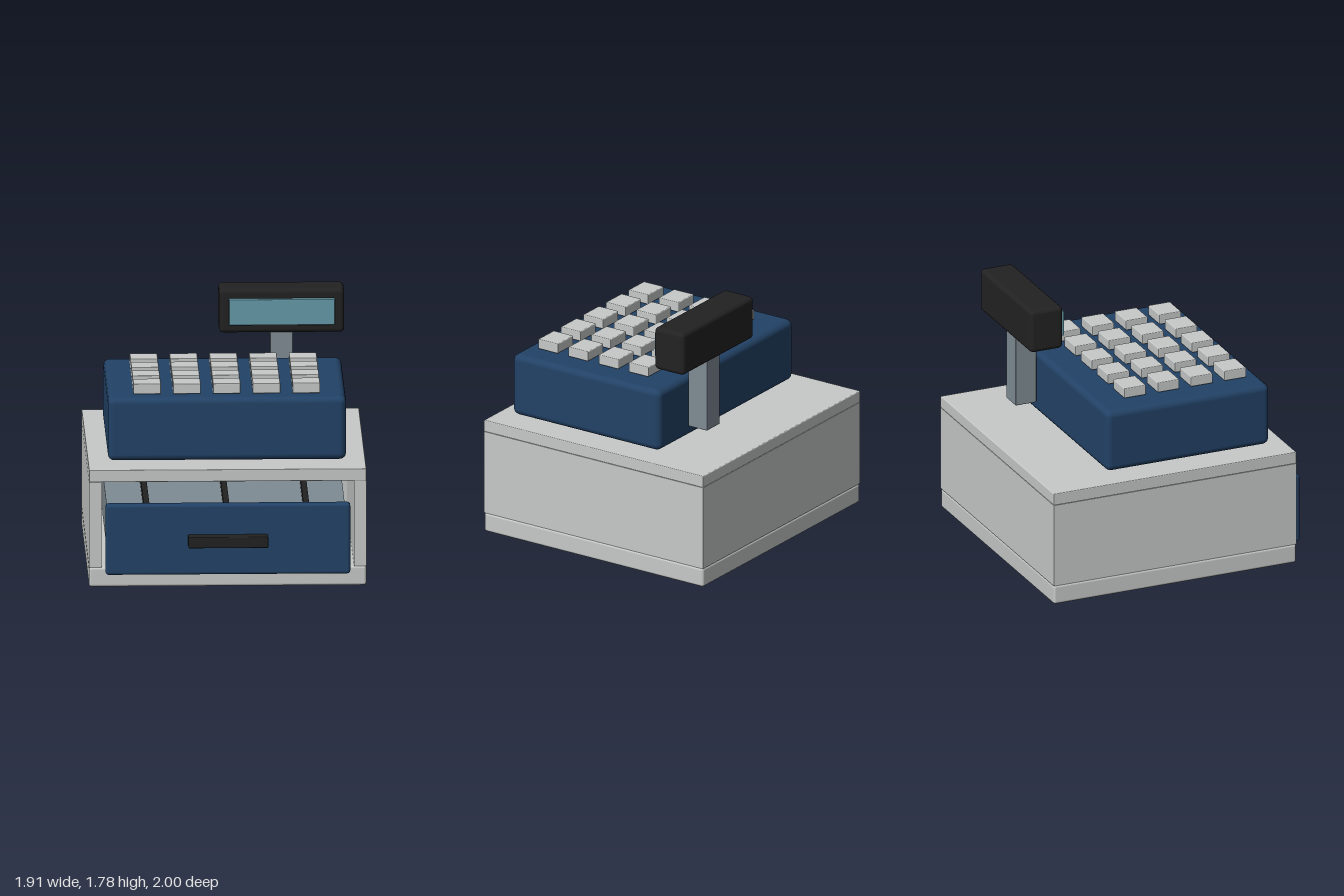
import * as THREE from 'three';
import { RoundedBoxGeometry } from 'three/addons/geometries/RoundedBoxGeometry.js';

function material(name, color) {
  const m = new THREE.MeshStandardMaterial({ color });
  m.name = name;
  return m;
}

export function createModel() {
  const model = new THREE.Group();
  model.name = 'cashRegister';

  const lightGrey = material('light grey', 0xc6cac8);
  const navy = material('navy blue', 0x224266);
  const black = material('black', 0x222222);
  const steel = material('steel grey', 0x7f8c94);
  const glass = material('screen teal', 0x659aa9);

  // Box given by its extents on each axis, with an optional rounded edge
  function box(name, mat, [x0, x1], [y0, y1], [z0, z1], radius = 0, parent = model) {
    const w = x1 - x0, h = y1 - y0, d = z1 - z0;
    const geometry = radius
      ? new RoundedBoxGeometry(w, h, d, 2, radius)
      : new THREE.BoxGeometry(w, h, d);
    const mesh = new THREE.Mesh(geometry, mat);
    mesh.position.set((x0 + x1) / 2, (y0 + y1) / 2, (z0 + z1) / 2);
    mesh.name = name;
    parent.add(mesh);
    return mesh;
  }

  // Cabinet: a shell open at the front
  const cabinet = new THREE.Group();
  cabinet.name = 'cabinet';
  model.add(cabinet);
  const depth = [-1, 0.83];
  box('base', lightGrey, [-0.955, 0.955], [0, 0.138], depth, 0.018, cabinet);
  box('leftWall', lightGrey, [0.87, 0.955], [0.138, 0.74], depth, 0, cabinet);
  box('rightWall', lightGrey, [-0.955, -0.87], [0.138, 0.74], depth, 0, cabinet);
  box('backWall', lightGrey, [-0.87, 0.87], [0.138, 0.74], [-1, -0.92], 0, cabinet);
  box('topPlate', lightGrey, [-0.955, 0.955], [0.74, 0.825], depth, 0.006, cabinet);

  // Drawer with handle, tray and dividers
  const drawer = new THREE.Group();
  drawer.name = 'drawer';
  model.add(drawer);
  box('drawerFront', navy, [-0.842, 0.842], [0.1, 0.597], [0.83, 0.91], 0.02, drawer);
  box('drawerHandle', black, [-0.275, 0.275], [0.308, 0.386], [0.905, 1], 0.007, drawer);
  box('drawerTray', steel, [-0.82, 0.82], [0.16, 0.46], [-0.7, 0.83], 0, drawer);
  for (const x of [-0.55, 0, 0.55]) {
    box('trayDivider', black, [x - 0.02, x + 0.02], [0.46, 0.51], [-0.68, 0.83], 0, drawer);
  }

  // Keyboard housing with a grid of keys
  box('keyboardHousing', navy, [-0.82, 0.82], [0.853, 1.3], [-0.54, 0.692], 0.045);
  const keys = new THREE.Group();
  keys.name = 'keys';
  model.add(keys);
  for (let row = 0; row < 4; row++) {
    for (let col = 0; col < 5; col++) {
      const x = (col - 2) * 0.274;
      const z = -0.247 + row * 0.252;
      box('key', lightGrey, [x - 0.095, x + 0.095], [1.305, 1.377], [z - 0.082, z + 0.082], 0.006, keys);
    }
  }

  // Customer display on its post
  const display = new THREE.Group();
  display.name = 'display';
  model.add(display);
  box('displayPost', steel, [0.332, 0.487], [0.942, 1.49], [-0.712, -0.555], 0.004, display);
  box('displayCase', black, [-0.022, 0.84], [1.472, 1.782], [-0.757, -0.51], 0.03, display);
  box('displayScreen', glass, [0.045, 0.775], [1.535, 1.717], [-0.53, -0.474], 0.006, display);

  return model;
}
